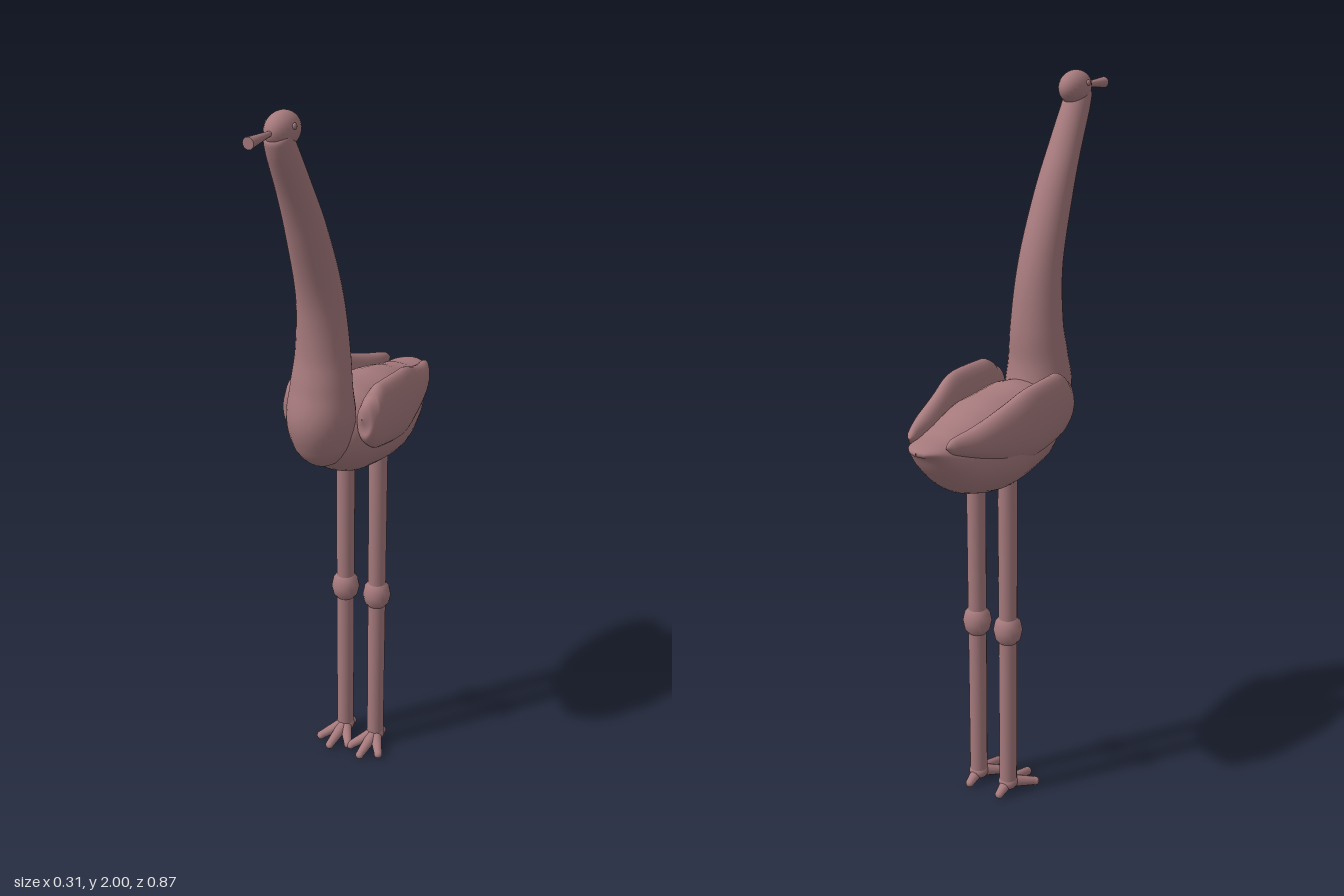
import * as THREE from 'three';

const plumage = new THREE.MeshStandardMaterial({ color: 0xa67a7d });
plumage.name = 'dusty rose';

// Smooth tube of elliptical rings; each section is [x, y, z, halfWidth, halfDepth]
function loft(sections, steps = 48, sides = 32) {
  const centres = new THREE.CatmullRomCurve3(sections.map(s => new THREE.Vector3(s[0], s[1], s[2])));
  const radii = new THREE.CatmullRomCurve3(sections.map(s => new THREE.Vector3(s[3], s[4], 0)));
  const pos = [], index = [];
  for (let i = 0; i <= steps; i++) {
    const t = i / steps;
    const c = centres.getPoint(t), r = radii.getPoint(t);
    const d = centres.getTangent(t).setX(0).normalize();
    for (let j = 0; j < sides; j++) {
      const a = (j / sides) * Math.PI * 2;
      const u = Math.max(r.x, 0.001) * Math.cos(a), v = Math.max(r.y, 0.001) * Math.sin(a);
      pos.push(c.x + u, c.y + d.z * v, c.z - d.y * v);
      if (i < steps) {
        const k = (j + 1) % sides, p = i * sides, q = p + sides;
        index.push(p + j, p + k, q + j, p + k, q + k, q + j);
      }
    }
  }
  const g = new THREE.BufferGeometry();
  g.setAttribute('position', new THREE.Float32BufferAttribute(pos, 3));
  g.setIndex(index);
  g.computeVertexNormals();
  return g;
}

// Tapered round bar between two points
function bar(from, to, r0, r1, sides = 16) {
  const a = new THREE.Vector3(...from), b = new THREE.Vector3(...to);
  const dir = b.clone().sub(a);
  const g = new THREE.CylinderGeometry(r1, r0, dir.length(), sides);
  g.applyQuaternion(new THREE.Quaternion().setFromUnitVectors(new THREE.Vector3(0, 1, 0), dir.normalize()));
  const m = a.add(b).multiplyScalar(0.5);
  return g.translate(m.x, m.y, m.z);
}

function ball(x, y, z, rx, ry, rz) {
  return new THREE.SphereGeometry(1, 24, 16).scale(rx, ry, rz).translate(x, y, z);
}

export function createModel() {
  const model = new THREE.Group();
  model.name = 'longLeggedBird';
  const add = (name, geometry, parent = model) => {
    const mesh = new THREE.Mesh(geometry, plumage);
    mesh.name = name;
    parent.add(mesh);
  };

  // Body, running from the breast back to the tail: [z, halfWidth, top, bottom]
  const body = [
    [0.15, 0.001, 1.13, 1.12], [0.14, 0.05, 1.17, 1.07], [0.1, 0.09, 1.2, 1.025],
    [0, 0.128, 1.215, 0.968], [-0.135, 0.135, 1.205, 0.95], [-0.255, 0.112, 1.19, 0.978],
    [-0.345, 0.08, 1.17, 1.05], [-0.4, 0.053, 1.155, 1.112], [-0.43, 0.025, 1.146, 1.128],
    [-0.437, 0.001, 1.14, 1.135],
  ];
  add('body', loft(body.map(([z, w, top, low]) => [0, (top + low) / 2, z, w, (top - low) / 2])));

  // S-curved neck with a rounded breast at its base
  add('neck', loft([
    [0, 1.03, 0.08, 0.001, 0.001], [0, 1.05, 0.088, 0.05, 0.055], [0, 1.1, 0.105, 0.08, 0.088],
    [0, 1.17, 0.118, 0.09, 0.099], [0, 1.25, 0.116, 0.083, 0.083], [0, 1.34, 0.108, 0.073, 0.074],
    [0, 1.5, 0.122, 0.06, 0.065], [0, 1.685, 0.185, 0.051, 0.055], [0, 1.8, 0.238, 0.044, 0.046],
    [0, 1.91, 0.295, 0.037, 0.042], [0, 1.945, 0.312, 0.033, 0.036], [0, 1.965, 0.32, 0.001, 0.001],
  ], 72));

  // Head and bill
  add('head', ball(0, 1.955, 0.288, 0.038, 0.045, 0.06));
  add('bill', bar([0, 1.957, 0.33], [0, 1.953, 0.437], 0.005, 0.015));

  for (const side of [-1, 1]) {
    const label = side > 0 ? 'left' : 'right';
    add(label + 'Eye', ball(side * 0.037, 1.968, 0.295, 0.005, 0.008, 0.008));

    // Folded wing
    add(label + 'Wing', loft([
      [0.108, 1.17, 0.094, 0.001, 0.001], [0.112, 1.17, 0.086, 0.022, 0.042],
      [0.115, 1.165, 0.065, 0.031, 0.07], [0.117, 1.16, 0.03, 0.034, 0.09],
      [0.121, 1.15, -0.1, 0.036, 0.097], [0.105, 1.142, -0.2, 0.034, 0.075],
      [0.085, 1.145, -0.3, 0.028, 0.042], [0.064, 1.15, -0.37, 0.014, 0.02],
      [0.058, 1.15, -0.39, 0.001, 0.001],
    ].map(([x, ...rest]) => [side * x, ...rest])));

    // Leg with knee and toes
    const leg = new THREE.Group();
    leg.name = label + 'Leg';
    leg.position.set(side * 0.052, 0, -0.11);
    model.add(leg);
    add('shank', bar([0, 0.03, 0], [0, 1.03, 0], 0.025, 0.027, 20), leg);
    const knee = [[0.026, 0.488], [0.036, 0.5], [0.041, 0.525], [0.036, 0.55], [0.026, 0.562]];
    add('knee', new THREE.LatheGeometry(knee.map(p => new THREE.Vector2(...p)), 20), leg);
    add('ankle', ball(0, 0.033, 0, 0.028, 0.024, 0.028), leg);
    for (const [x, z] of [[-0.047, 0.07], [0, 0.1], [0.047, 0.07], [0, -0.045]]) {
      add('toe', bar([0, 0.034, 0], [x, 0.013, z], 0.019, 0.012, 12), leg);
      add('toeTip', ball(x, 0.0125, z, 0.0125, 0.0125, 0.0125), leg);
    }
  }
  return model;
}
